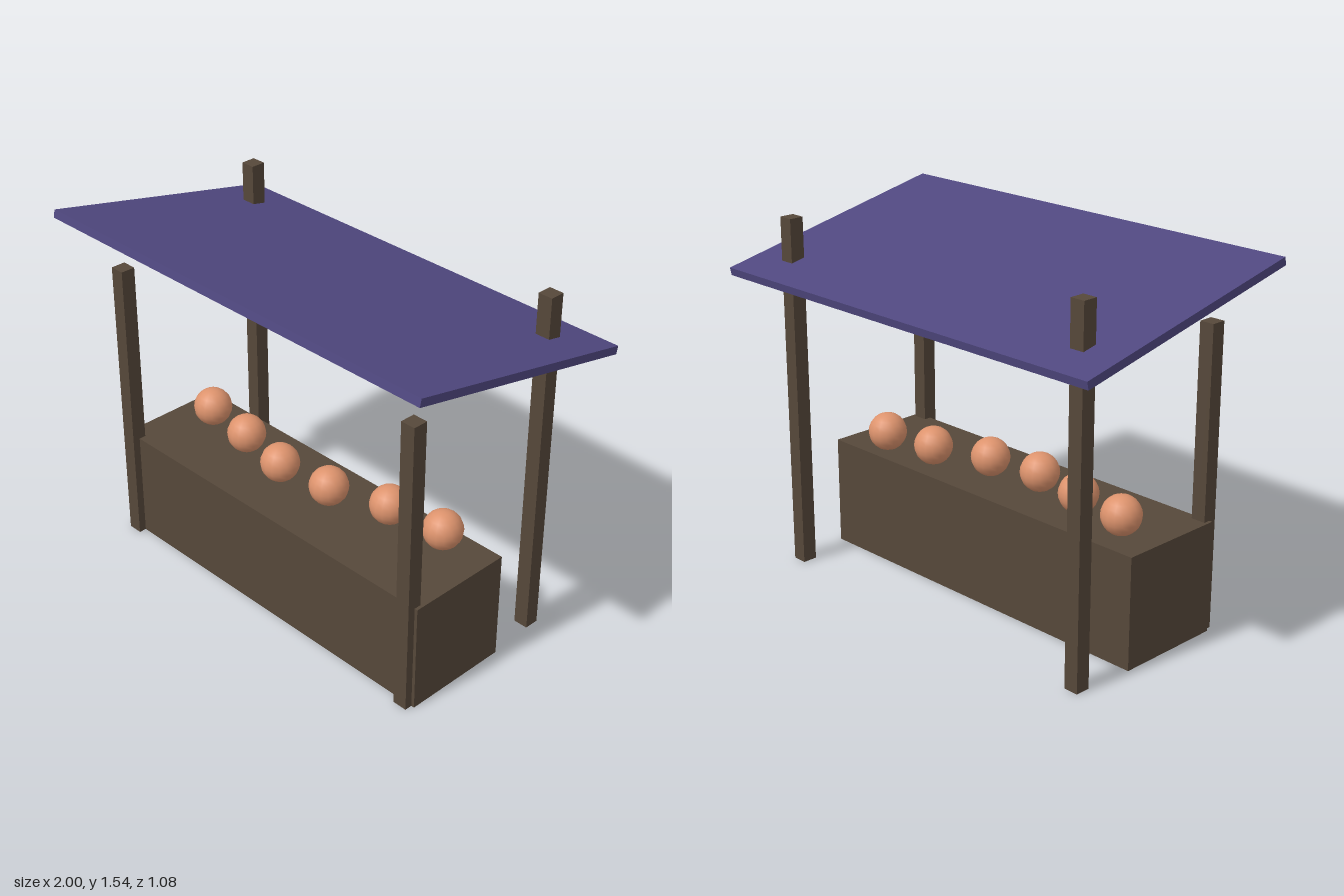
import * as THREE from 'three';

const mat = (name, color) => {
  const m = new THREE.MeshStandardMaterial({ color });
  m.name = name;
  return m;
};

export function createModel() {
  const wood = mat('dark wood', 0x56483a);
  const cloth = mat('purple canopy', 0x504880);
  const peach = mat('orange fruit', 0xdd936d);

  const stall = new THREE.Group();
  stall.name = 'marketStall';

  const add = (name, geometry, material, x, y, z) => {
    const mesh = new THREE.Mesh(geometry, material);
    mesh.name = name;
    mesh.position.set(x, y, z);
    stall.add(mesh);
    return mesh;
  };

  // Counter
  add('counter', new THREE.BoxGeometry(1.712, 0.476, 0.476), wood, 0, 0.238, 0.119);

  // Short front posts, tall back posts that pass through the canopy
  const post = 0.064;
  for (const side of [-1, 1]) {
    const label = side > 0 ? 'Left' : 'Right';
    add('frontPost' + label, new THREE.BoxGeometry(post, 1.286, post), wood, side * 0.81, 0.643, 0.358);
    add('backPost' + label, new THREE.BoxGeometry(post, 1.525, post), wood, side * 0.81, 0.7625, -0.358);
  }

  // Canopy, raised at the front
  const canopy = add('canopy', new THREE.BoxGeometry(2, 0.034, 1.097), cloth, 0, 1.406, 0);
  canopy.rotation.x = -0.21;

  // Row of fruit, unevenly placed along the counter
  const fruit = new THREE.SphereGeometry(0.083, 16, 12);
  [0.03, 0.07, 0.12, 0.095, 0.013, -0.015].forEach((z, i) => {
    add('fruit' + (i + 1), fruit, peach, -0.671 + i * 0.262, 0.548, z);
  });

  return stall;
}
